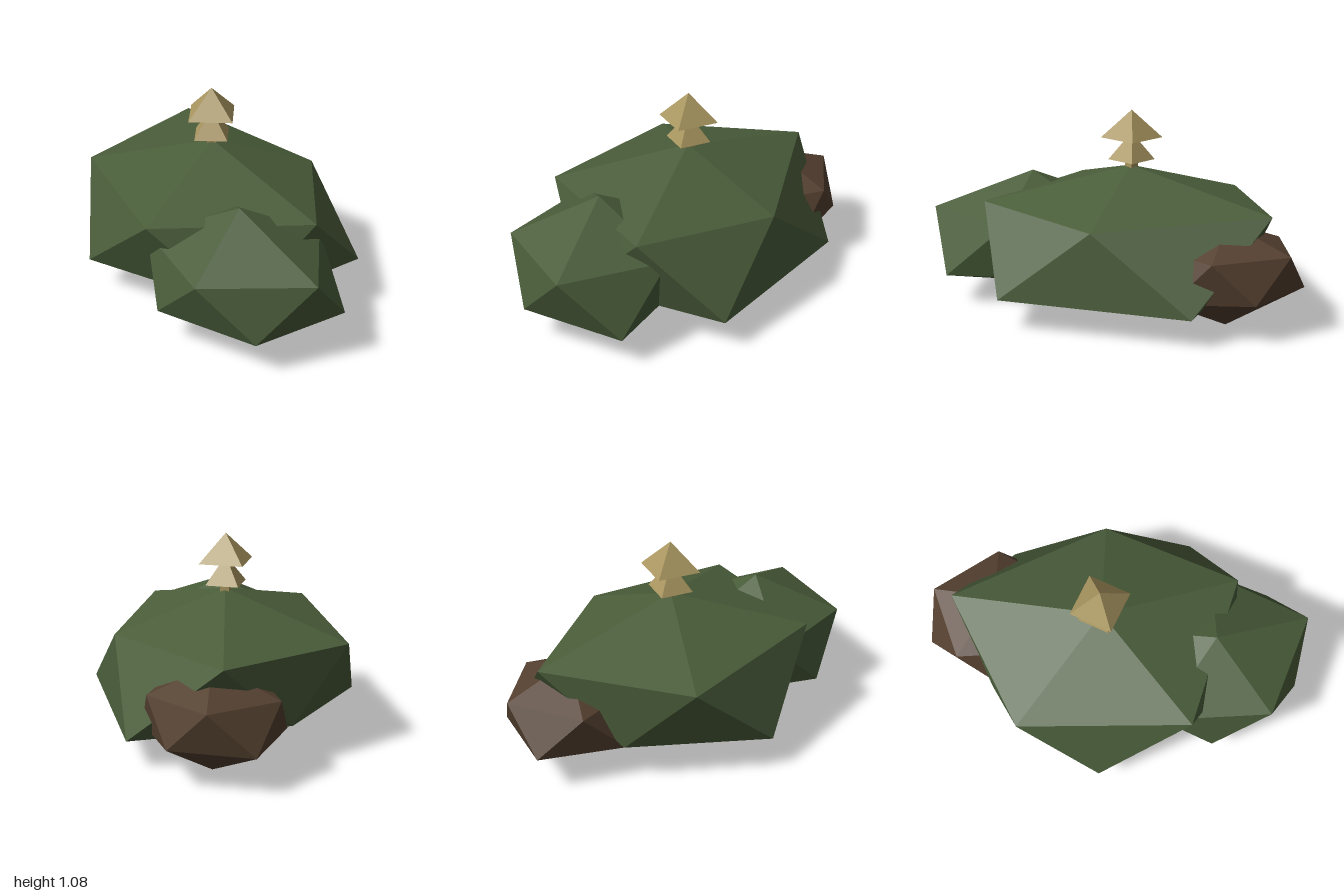
import * as THREE from 'three';

const mat = (name, color) => {
  const m = new THREE.MeshStandardMaterial({ color, flatShading: true });
  m.name = name;
  return m;
};

// Faceted boulder: top point, five upper corners, five lower corners, bottom point.
// Corners run clockwise seen from above, lower[i] sits between upper[i] and upper[i + 1].
function boulder(name, material, top, upper, lower, bottom) {
  const pos = [];
  const tri = (...corners) => corners.forEach((c) => pos.push(...c));
  for (let i = 0; i < 5; i++) {
    const j = (i + 1) % 5;
    tri(top, upper[j], upper[i]);
    tri(upper[i], upper[j], lower[i]);
    tri(upper[j], lower[j], lower[i]);
    tri(bottom, lower[i], lower[j]);
  }
  const geo = new THREE.BufferGeometry();
  geo.setAttribute('position', new THREE.Float32BufferAttribute(pos, 3));
  geo.computeVertexNormals();
  const mesh = new THREE.Mesh(geo, material);
  mesh.name = name;
  return mesh;
}

export function createModel() {
  const green = mat('mossGreen', 0x4a5d3a);
  const brown = mat('earthBrown', 0x544030);
  const tan = mat('dryTan', 0xa8955f);
  const group = new THREE.Group();
  group.name = 'mossyRocks';

  // Large mossy boulder
  group.add(boulder('mainBoulder', green, [-0.1, 0.78, 0],
    [[0.69, 0.58, 0], [0.16, 0.593, 0.68], [-0.71, 0.573, 0.37], [-0.81, 0.6, -0.44], [0.12, 0.55, -0.55]],
    [[0.53, 0.18, 0.39], [-0.36, 0.18, 0.665], [-0.755, 0.215, 0], [-0.38, 0.155, -0.745], [0.6, 0.165, -0.44]],
    [-0.1, 0.036, 0]));

  // Smaller mossy boulder at the front left
  group.add(boulder('sideBoulder', green, [0.44, 0.685, 0.3],
    [[0.995, 0.475, 0.3], [0.6, 0.47, 0.74], [0.03, 0.475, 0.57], [0.02, 0.46, 0.02], [0.59, 0.46, -0.13]],
    [[0.845, 0.185, 0.565], [0.285, 0.185, 0.72], [-0.02, 0.18, 0.3], [0.28, 0.18, -0.13], [0.91, 0.16, 0]],
    [0.44, 0.03, 0.3]));

  // Earthy rock at the back right
  group.add(boulder('earthRock', brown, [-0.59, 0.56, -0.37],
    [[-0.22, 0.42, -0.37], [-0.48, 0.42, -0.04], [-0.89, 0.42, -0.16], [-0.89, 0.43, -0.58], [-0.48, 0.42, -0.68]],
    [[-0.27, 0.19, -0.14], [-0.71, 0.19, 0], [-1, 0.205, -0.37], [-0.705, 0.21, -0.695], [-0.28, 0.19, -0.6]],
    [-0.59, 0, -0.37]));

  // Little four-sided tree on the summit
  const tree = new THREE.Group();
  tree.name = 'tree';
  tree.position.set(-0.105, 0, 0);
  const tier = (name, rTop, rBottom, y0, y1) => {
    const mesh = new THREE.Mesh(new THREE.CylinderGeometry(rTop, rBottom, y1 - y0, 4), tan);
    mesh.name = name;
    mesh.position.y = (y0 + y1) / 2;
    tree.add(mesh);
  };
  tier('trunk', 0.035, 0.035, 0.72, 0.9);
  tier('lowerFoliage', 0, 0.125, 0.81, 0.958);
  tier('upperFoliage', 0, 0.165, 0.93, 1.08);
  group.add(tree);
  return group;
}
